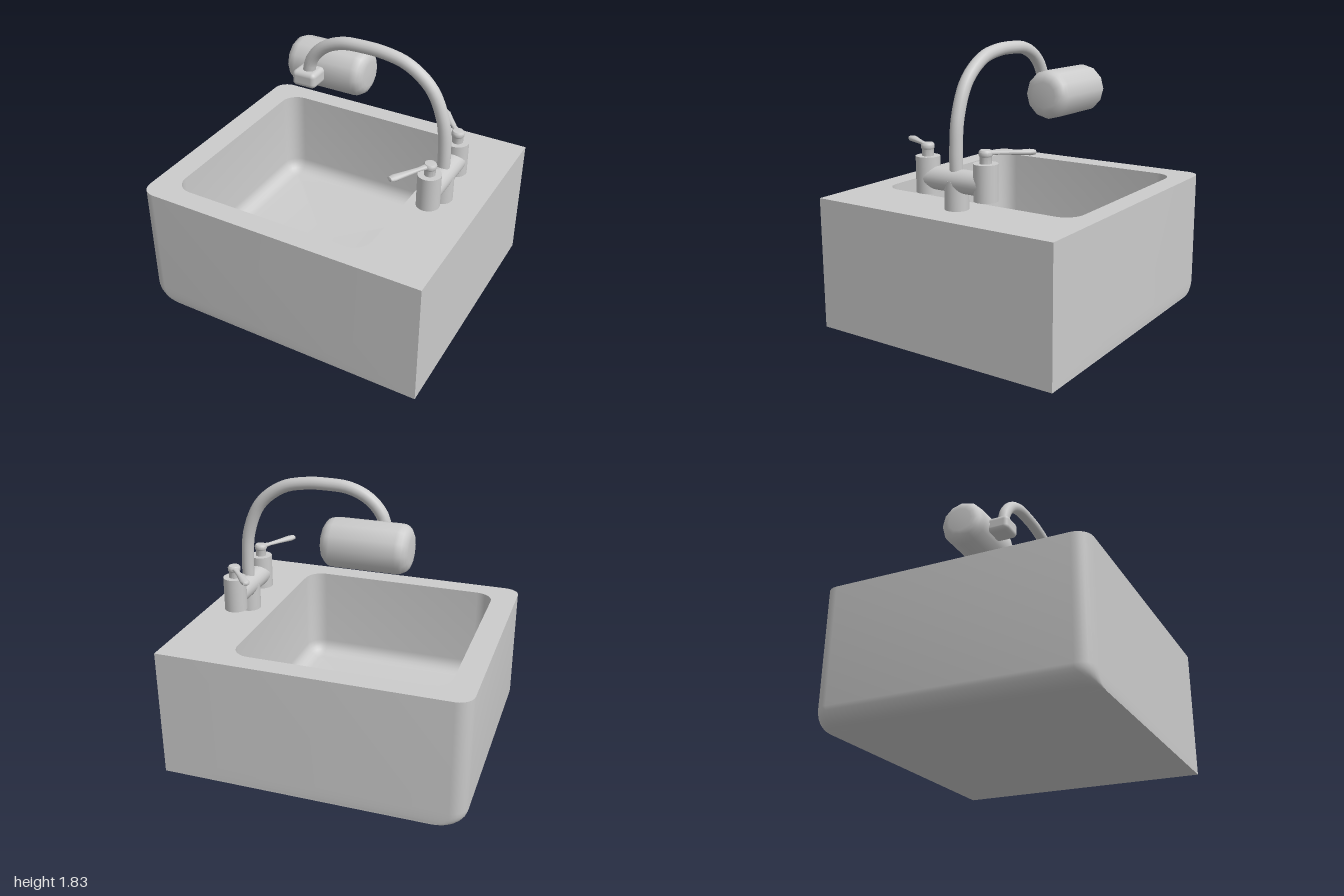
import * as THREE from 'three';
import { toCreasedNormals } from 'three/addons/utils/BufferGeometryUtils.js';
import { RoundedBoxGeometry } from 'three/addons/geometries/RoundedBoxGeometry.js';

const material = new THREE.MeshStandardMaterial({ color: 0xcccccc });
const CREASE = 0.6;

function add(parent, name, geometry, x = 0, y = 0, z = 0) {
  const mesh = new THREE.Mesh(geometry, material);
  mesh.name = name;
  mesh.position.set(x, y, z);
  parent.add(mesh);
  return mesh;
}

// Horizontal rectangle with its own corner radius on the -x and +x sides
function ring(x0, x1, z0, z1, rLow, rHigh, y) {
  const corners = [
    [x1 - rHigh, z1 - rHigh, rHigh], [x0 + rLow, z1 - rLow, rLow],
    [x0 + rLow, z0 + rLow, rLow], [x1 - rHigh, z0 + rHigh, rHigh],
  ];
  const points = [];
  corners.forEach(([cx, cz, r], q) => {
    const steps = r > 0 ? 6 : 0;
    for (let i = 0; i <= steps; i++) {
      const a = (q + (steps ? i / steps : 0)) * Math.PI / 2;
      points.push(new THREE.Vector3(cx + r * Math.cos(a), y, cz + r * Math.sin(a)));
    }
  });
  return points;
}

// Skin through rings listed from top to bottom, closed at the last one
function loft(rings, inward) {
  const pos = [];
  const tri = (a, b, c) => (inward ? [a, c, b] : [a, b, c]).forEach((p) => pos.push(p.x, p.y, p.z));
  const n = rings[0].length;
  const last = rings[rings.length - 1];
  const centre = new THREE.Vector3();
  last.forEach((p) => centre.addScaledVector(p, 1 / n));
  for (let i = 0; i < n; i++) {
    const j = (i + 1) % n;
    for (let k = 0; k < rings.length - 1; k++) {
      const a = rings[k], b = rings[k + 1];
      tri(a[i], a[j], b[i]);
      tri(a[j], b[j], b[i]);
    }
    tri(centre, last[i], last[j]);
  }
  const geometry = new THREE.BufferGeometry();
  geometry.setAttribute('position', new THREE.Float32BufferAttribute(pos, 3));
  return toCreasedNormals(geometry, CREASE);
}

function lathe(points, segments) {
  const profile = points.map(([r, y]) => new THREE.Vector2(r, y));
  return toCreasedNormals(new THREE.LatheGeometry(profile, segments), CREASE);
}

function buildSink() {
  const sink = new THREE.Group();
  sink.name = 'sink';
  const top = 0.865, floor = 0.21, r = 0.1;

  // Outer block: rounded only along the -x side
  const outer = (inset, y) => ring(-1 + inset, 1, -0.865, 0.865, r, 0, y);
  const outerRings = [outer(0, top)];
  // Basin: rounded corners and a filleted floor
  const inner = (inset, y) => ring(-0.835 + inset, 0.555 - inset, -0.725 + inset, 0.72 - inset,
    0.12 - inset, 0.12 - inset, y);
  const innerRings = [inner(0, top)];
  for (let i = 0; i <= 6; i++) {
    const a = (i / 6) * Math.PI / 2;
    const inset = r * (1 - Math.cos(a)), drop = r * (1 - Math.sin(a));
    outerRings.push(outer(inset, drop));
    innerRings.push(inner(inset, floor + drop));
  }
  add(sink, 'block', loft(outerRings, false));
  add(sink, 'basin', loft(innerRings, true));

  // Flat rim between the two
  const flat = (points) => points.map((p) => new THREE.Vector2(p.x, -p.z));
  const rim = new THREE.Shape(flat(outerRings[0]));
  rim.holes.push(new THREE.Path(flat(innerRings[0])));
  add(sink, 'rim', new THREE.ShapeGeometry(rim).rotateX(-Math.PI / 2), 0, top, 0);
  return sink;
}

function buildHandle(name, z, reachX, reachZ) {
  const handle = new THREE.Group();
  handle.name = name;
  handle.position.set(0.73, 0, z);
  add(handle, 'valve', new THREE.CylinderGeometry(0.075, 0.075, 0.225, 24), 0, 1.0575, 0);
  add(handle, 'stem', lathe([[0.036, 1.16], [0.036, 1.21], [0.042, 1.22], [0.042, 1.238],
    [0.034, 1.25], [0, 1.253]], 20));
  // Flattened lever that widens to its tip
  const lever = lathe([[0, 0], [0.026, 0], [0.017, 0.08], [0.021, 0.16], [0.029, 0.26],
    [0.022, 0.292], [0, 0.3]], 16);
  lever.rotateZ(Math.PI / 2).scale(1, 0.65, 1);
  add(handle, 'lever', lever, 0, 1.232, 0).rotation.y = Math.atan2(reachZ, -reachX);
  return handle;
}

function buildFaucet() {
  const faucet = new THREE.Group();
  faucet.name = 'faucet';
  const x = 0.73, z = -0.018;
  add(faucet, 'post', new THREE.CylinderGeometry(0.075, 0.075, 0.18, 24), x, 0.955, z);
  add(faucet, 'crossPipe', new THREE.CylinderGeometry(0.073, 0.073, 0.43, 24).rotateX(Math.PI / 2), x, 1.04, z);
  faucet.add(buildHandle('frontHandle', 0.198, -0.145, 0.25));
  faucet.add(buildHandle('backHandle', -0.234, -0.185, -0.22));

  // Arched spout
  const path = [[0.73, 1.04], [0.73, 1.22], [0.708, 1.42], [0.62, 1.62], [0.46, 1.745], [0.3, 1.785],
    [0.15, 1.792], [0, 1.78], [-0.13, 1.72], [-0.215, 1.62], [-0.243, 1.5]];
  const curve = new THREE.CatmullRomCurve3(path.map(([px, py]) => new THREE.Vector3(px, py, z)));
  add(faucet, 'spout', new THREE.TubeGeometry(curve, 40, 0.041, 16));
  return faucet;
}

function buildFilter() {
  const filter = new THREE.Group();
  filter.name = 'filter';
  add(filter, 'connector', new RoundedBoxGeometry(0.167, 0.106, 0.155, 4, 0.03), -0.244, 1.493, -0.022);
  // Canister with rounded ends, lying along x
  const radius = 0.158, half = 0.28, round = 0.075;
  const profile = [[0, -half]];
  for (const side of [-1, 1]) {
    for (let i = 0; i <= 5; i++) {
      const a = (side < 0 ? i : 5 - i) / 5 * Math.PI / 2;
      profile.push([radius - round * (1 - Math.sin(a)), side * (half - round * (1 - Math.cos(a)))]);
    }
  }
  profile.push([0, half]);
  add(filter, 'canister', lathe(profile, 12).rotateZ(Math.PI / 2), -0.185, 1.495, -0.23);
  return filter;
}

export function createModel() {
  const model = new THREE.Group();
  model.name = 'sinkWithFaucet';
  model.add(buildSink(), buildFaucet(), buildFilter());
  return model;
}
